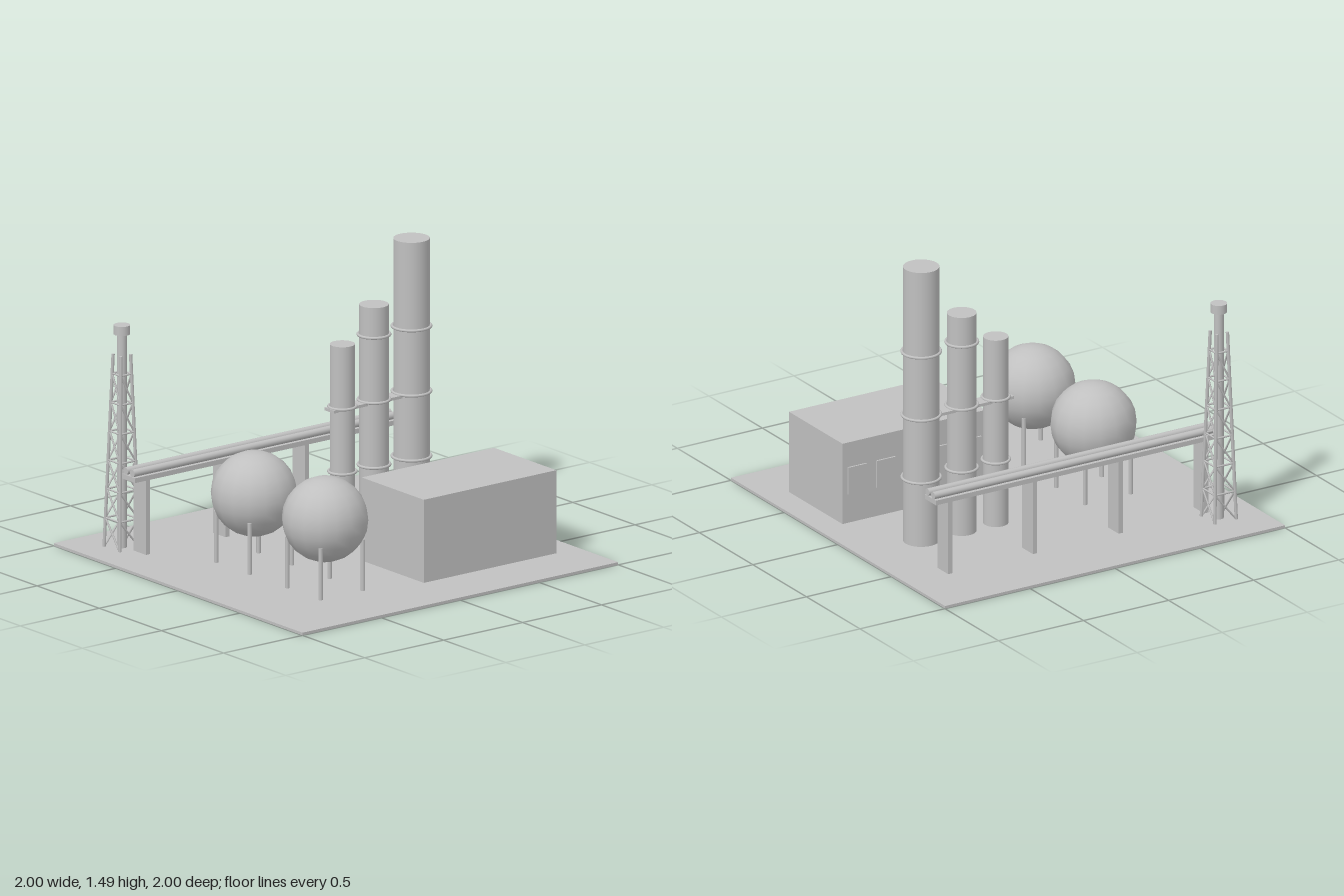
import * as THREE from 'three';

const grey = new THREE.MeshStandardMaterial({ color: 0xc0c0c0 });
grey.name = 'plain grey';

const GROUND = 0.014;

function add(parent, name, geometry, x = 0, y = 0, z = 0) {
  const mesh = new THREE.Mesh(geometry, grey);
  mesh.name = name;
  mesh.position.set(x, y, z);
  parent.add(mesh);
  return mesh;
}

function group(parent, name, x = 0, z = 0) {
  const g = new THREE.Group();
  g.name = name;
  g.position.set(x, 0, z);
  parent.add(g);
  return g;
}

// Box given by its lower and upper limits
function block(parent, name, [x0, x1], [y0, y1], [z0, z1]) {
  return add(parent, name, new THREE.BoxGeometry(x1 - x0, y1 - y0, z1 - z0),
    (x0 + x1) / 2, (y0 + y1) / 2, (z0 + z1) / 2);
}

// Upright cylinder between two heights
function column(parent, name, r, y0, y1, x = 0, z = 0, sides = 32) {
  return add(parent, name, new THREE.CylinderGeometry(r, r, y1 - y0, sides), x, (y0 + y1) / 2, z);
}

// Thin round bar between two points
function bar(parent, name, a, b, r) {
  const dir = b.clone().sub(a);
  const mesh = add(parent, name, new THREE.CylinderGeometry(r, r, dir.length(), 6));
  mesh.position.copy(a).add(b).multiplyScalar(0.5);
  mesh.quaternion.setFromUnitVectors(new THREE.Vector3(0, 1, 0), dir.normalize());
  return mesh;
}

function buildHall(parent) {
  const hall = group(parent, 'hall');
  block(hall, 'hallBody', [0.015, 0.855], [GROUND, 0.445], [0.187, 0.687]);
  // Row of shutters along the back wall
  for (let i = 0; i < 5; i++) {
    const x = 0.098 + i * 0.168;
    block(hall, 'shutter', [x - 0.055, x + 0.055], [0.167, 0.313], [0.178, 0.187]);
  }
}

function buildTank(parent, z) {
  const tank = group(parent, 'sphereTank', -0.438, z);
  add(tank, 'tankSphere', new THREE.SphereGeometry(0.217, 16, 12), 0, 0.379, 0);
  for (const sx of [-1, 1]) for (const sz of [-1, 1])
    column(tank, 'tankLeg', 0.0115, GROUND, 0.28, sx * 0.134, sz * 0.134, 8);
}

function buildStacks(parent) {
  const stacks = group(parent, 'stacks', 0, -0.2);
  const specs = [[0.198, 0.063, 1.015], [0.398, 0.074, 1.185], [0.636, 0.091, 1.485]];
  for (const [x, r, top] of specs) {
    column(stacks, 'stack', r, GROUND, top, x);
    for (const y of [0.355, 0.692, 1.03]) {
      if (y > top) continue;
      const ring = add(stacks, 'stackRing', new THREE.TorusGeometry(r + 0.006, 0.0075, 8, 32), x, y, 0);
      ring.rotation.x = Math.PI / 2;
    }
  }
  // Walkway joining the stacks
  block(stacks, 'walkway', [0.118, 0.64], [0.675, 0.69], [-0.043, 0.035]);
}

function buildPipeRack(parent) {
  const rack = group(parent, 'pipeRack', 0, -0.603);
  block(rack, 'rackDeck', [-0.838, 0.836], [0.4, 0.425], [-0.052, 0.052]);
  for (const z of [-0.027, 0.027]) {
    const pipe = add(rack, 'pipe', new THREE.CylinderGeometry(0.019, 0.019, 1.674, 16), 0, 0.444, z);
    pipe.rotation.z = Math.PI / 2;
  }
  for (const x of [-0.755, -0.252, 0.252, 0.75])
    block(rack, 'rackPost', [x - 0.0125, x + 0.0125], [GROUND, 0.4], [-0.05, 0.05]);
}

function buildFlareTower(parent) {
  const tower = group(parent, 'flareTower', -0.775, -0.738);
  column(tower, 'flarePipe', 0.025, GROUND, 1.13, 0, 0, 16);
  column(tower, 'flareTip', 0.042, 1.12, 1.167, 0, 0, 16);

  // Corner of the tapering frame at a given height
  const top = 1.015;
  const corner = (i, y) => {
    const half = THREE.MathUtils.mapLinear(y, GROUND, top, 0.063, 0.031);
    const sx = [-1, 1, 1, -1][i % 4], sz = [1, 1, -1, -1][i % 4];
    return new THREE.Vector3(sx * half, y, sz * half);
  };
  for (let i = 0; i < 4; i++) {
    bar(tower, 'towerLeg', corner(i, GROUND), corner(i, top), 0.0085);
    for (let k = 0; k < 6; k++) {
      const y0 = GROUND + k * 0.15, y1 = y0 + 0.15;
      bar(tower, 'crossBar', corner(i, y1), corner(i + 1, y1), 0.005);
      bar(tower, 'diagonalBrace', corner(i, y1), corner(i + 1, y0), 0.005);
    }
  }
}

export function createModel() {
  const model = new THREE.Group();
  model.name = 'refinery';
  block(model, 'groundSlab', [-1, 1], [0, GROUND], [-1, 1]);
  buildHall(model);
  buildTank(model, -0.103);
  buildTank(model, 0.468);
  buildStacks(model);
  buildPipeRack(model);
  buildFlareTower(model);
  return model;
}
